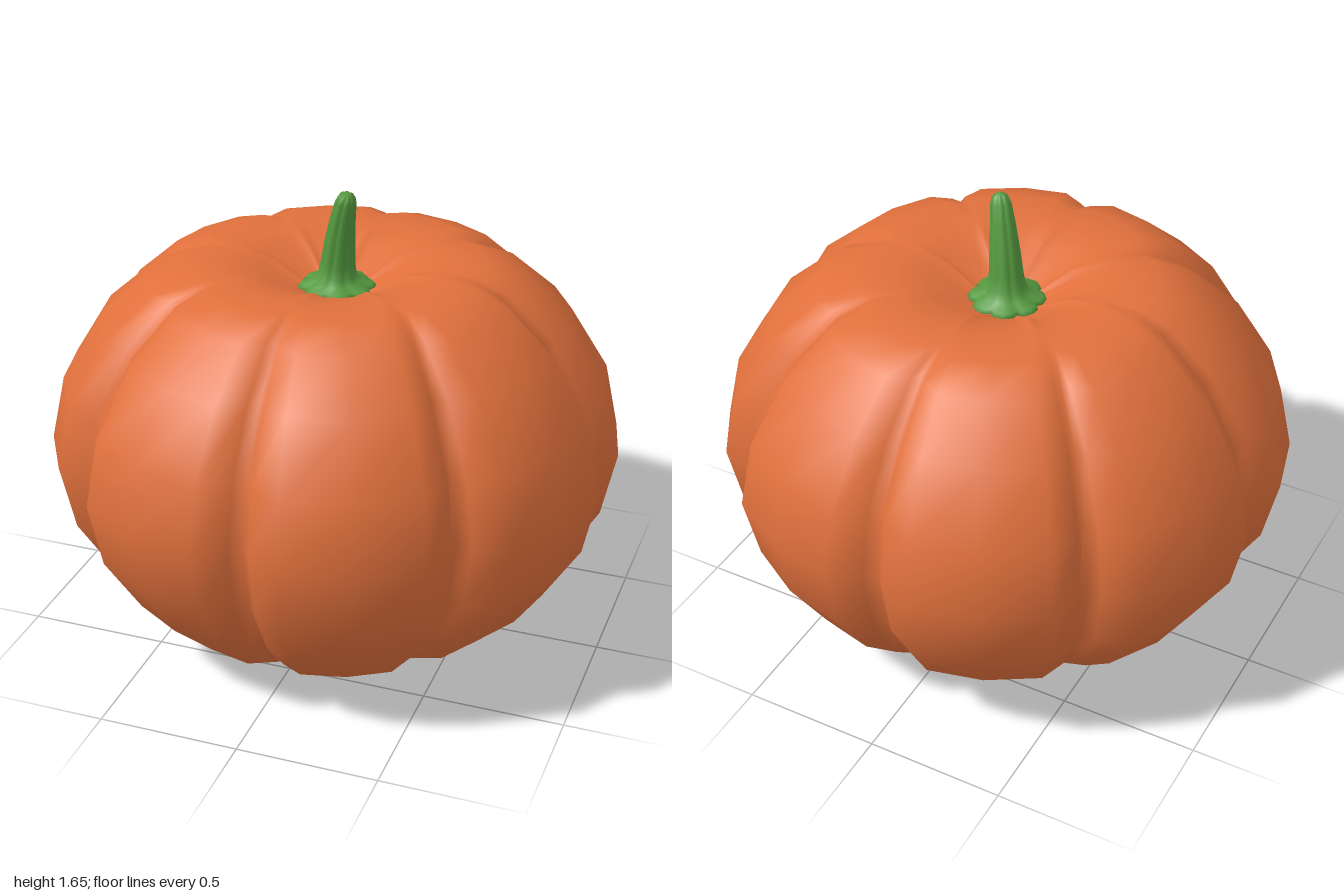
import * as THREE from 'three';
import { mergeVertices } from 'three/addons/utils/BufferGeometryUtils.js';

const LOBES = 8;

// Skin a stack of closed rings, listed bottom to top, with shared smooth normals.
function loft(rings) {
  const n = rings[0].length;
  const index = [];
  for (let i = 0; i < rings.length - 1; i++) {
    for (let j = 0; j < n; j++) {
      const a = i * n + j, b = i * n + (j + 1) % n;
      index.push(a, a + n, b, b, a + n, b + n);
    }
  }
  const geometry = new THREE.BufferGeometry();
  geometry.setAttribute('position', new THREE.Float32BufferAttribute(rings.flat(2), 3));
  geometry.setIndex(index);
  const merged = mergeVertices(geometry, 1e-5); // joins the poles
  merged.computeVertexNormals();
  return merged;
}

// Repeat one lobe's [degrees, radius] outline around the full circle.
function lobedOutline(lobe) {
  const outline = [];
  for (let k = 0; k < LOBES; k++) {
    for (const [deg, r] of lobe) {
      const a = THREE.MathUtils.degToRad(deg + k * 360 / LOBES);
      outline.push([r * Math.cos(a), r * Math.sin(a)]);
    }
  }
  return outline;
}

function createBody() {
  const outline = lobedOutline([[0, 0.9], [2.2, 0.944], [8.5, 1.011], [22.5, 1.018], [36.5, 1.011], [42.8, 0.944]]);
  // [radius, height] from the underside, up the flank, into the dip at the top
  const profile = [
    [0, 0], [0.2, 0.004], [0.34, 0.008], [0.52, 0.02], [0.65, 0.095], [0.815, 0.255], [0.95, 0.475],
    [1, 0.715], [0.95, 0.95], [0.815, 1.175], [0.645, 1.325], [0.515, 1.373],
    [0.38, 1.372], [0.26, 1.35], [0.13, 1.28], [0, 1.26],
  ];
  return loft(profile.map(([s, y]) => outline.map(([x, z]) => [x * s, y, z * s])));
}

function createStem() {
  const outline = lobedOutline([[0, 0.84], [7.5, 0.95], [22.5, 1.02], [37.5, 0.95]]);
  // [lean along x and z, height, radius, tilt of the ring]
  const sections = [
    [0, 1.262, 0.125, 0], [0, 1.28, 0.138, 0], [0, 1.294, 0.125, 0], [0, 1.305, 0.088, 0],
    [0.002, 1.33, 0.067, 0.02], [0.006, 1.375, 0.059, 0.05], [0.018, 1.46, 0.052, 0.12],
    [0.034, 1.55, 0.043, 0.2], [0.05, 1.615, 0.036, 0.25], [0.059, 1.64, 0.027, 0.25], [0.063, 1.653, 0, 0],
  ];
  return loft(sections.map(([lean, y, r, tilt]) =>
    outline.map(([x, z]) => [lean + x * r, y - tilt * (x + z) * r, lean + z * r])));
}

export function createModel() {
  const group = new THREE.Group();
  group.name = 'pumpkin';
  const add = (name, geometry, color) => {
    const mesh = new THREE.Mesh(geometry, new THREE.MeshStandardMaterial({ color }));
    mesh.name = name;
    group.add(mesh);
  };
  add('body', createBody(), 0xe0703c);
  add('stem', createStem(), 0x559a40);
  return group;
}
